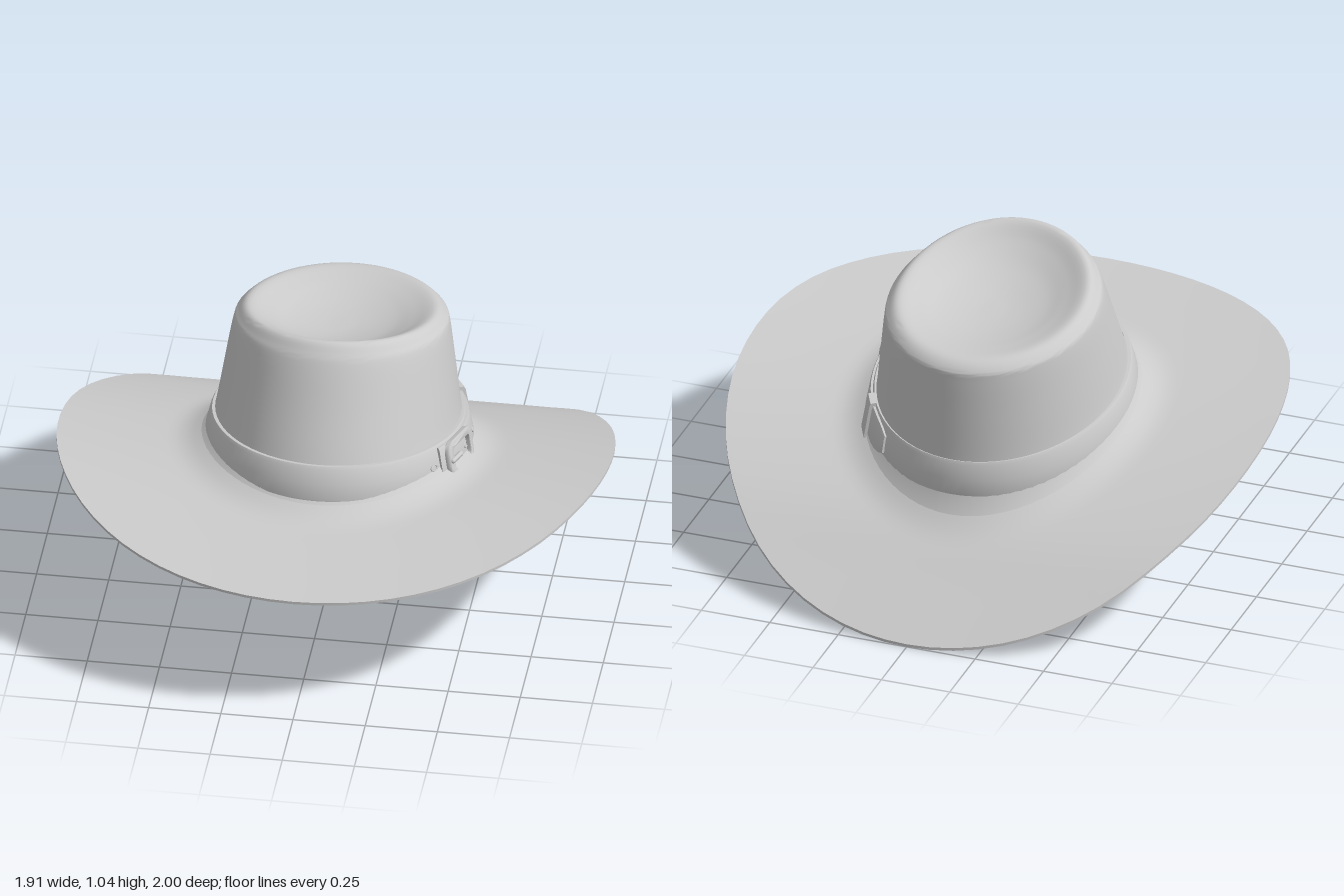
import * as THREE from 'three';
import { toCreasedNormals } from 'three/addons/utils/BufferGeometryUtils.js';

const V = (x, y, z) => new THREE.Vector3(x, y, z);
const curve = (pts) => new THREE.CatmullRomCurve3(pts.map((p) => V(...p)), false, 'catmullrom', 0.5);
const { lerp, clamp, smoothstep } = THREE.MathUtils;

// Surface from a rule: i runs around the hat (front, left, back, right), j runs upward
function grid(nu, nv, fn, crease = 0.8) {
  const pos = [], idx = [];
  for (let j = 0; j <= nv; j++)
    for (let i = 0; i <= nu; i++) pos.push(...fn(i, j).toArray());
  for (let j = 0; j < nv; j++)
    for (let i = 0; i < nu; i++) {
      const a = j * (nu + 1) + i, b = a + 1, c = a + nu + 1, d = c + 1;
      idx.push(a, b, d, a, d, c);
    }
  const g = new THREE.BufferGeometry();
  g.setAttribute('position', new THREE.Float32BufferAttribute(pos, 3));
  g.setIndex(idx);
  return toCreasedNormals(g, crease);
}

// Egg-shaped ring point from its front z, back z and half width
function ring(a, front, back, rx, off = 0) {
  return V((rx + off) * Math.sin(a), 0, (front + back) / 2 + ((front - back) / 2 + off) * Math.cos(a));
}

// Brim height: a curve from front to back, with the sides turned up
const brimCurve = curve([0.485, 0.497, 0.506, 0.507, 0.49, 0.456, 0.41, 0.345, 0.258, 0.133, 0.007]
  .map((y, i) => [1 - i * 0.2, y, 0]));
function brimY(x, z) {
  const y = brimCurve.getPoint(clamp((1 - z) / 2, 0, 1)).y;
  return y + lerp(0.03, 0.04, smoothstep(z, -0.6, 0)) * (x / 0.95) ** 2;
}

// Brim point: r runs from the crown to the rim, thick is the offset from the middle layer
const BASE = [0.49, -0.565, 0.46];
function brimPoint(a, r, thick) {
  const bulge = 1 + 0.015 * Math.sin(2 * a) ** 2;
  const p = ring(a, ...BASE).lerp(V(0.955 * bulge * Math.sin(a), 0, bulge * Math.cos(a)), r);
  const flare = 0.035 * Math.max(0, 1 - r * 4.5) ** 2;
  p.y = brimY(p.x, p.z) + flare + thick * lerp(1, 0.5, r);
  return p;
}

// Crown profile: front z, back z and half width, then front and back heights
const shape = curve([BASE, [0.458, -0.555, 0.44], [0.425, -0.55, 0.42], [0.355, -0.55, 0.395],
  [0.285, -0.55, 0.372], [0.255, -0.545, 0.357], [0.215, -0.505, 0.32], [0.155, -0.43, 0.25],
  [0.08, -0.355, 0.185], [0, -0.28, 0.12], [-0.07, -0.21, 0.06], [-0.14, -0.14, 0]]);
const heights = curve([[0.48, 0.3, 0], [0.61, 0.42, 0], [0.69, 0.5, 0], [0.83, 0.67, 0],
  [0.97, 0.81, 0], [1.015, 0.848, 0], [1.045, 0.878, 0], [0.993, 0.878, 0],
  [0.942, 0.872, 0], [0.908, 0.868, 0], [0.888, 0.87, 0], [0.877, 0.877, 0]]);
function crownPoint(a, t, shrink = 0) {
  const s = shape.getPoint(t), h = heights.getPoint(t);
  const p = ring(a, s.x, s.y, s.z, -shrink * s.z);
  p.y = lerp(h.y, h.x, (1 + Math.cos(a)) / 2);
  // The top edge sags a little along the sides, fading to the middle
  p.y -= 0.012 * Math.sin(a) ** 2 * smoothstep(t, 0.35, 0.5) * (1 - smoothstep(t, 0.55, 0.9));
  return p;
}

// Points on the hat band: t runs from its bottom edge to its top edge
function bandPoint(a, t, off = 0) {
  const p = ring(a, lerp(0.482, 0.442, t), lerp(-0.556, -0.548, t), lerp(0.455, 0.427, t), off);
  p.y = lerp(0.468 + 0.183 * p.z, 0.6 + 0.178 * p.z, t);
  return p;
}

// Raised leather strip lying on the band, optionally with a rounded tip
function strip(a0, a1, t0, t1, off, tip) {
  const n = 22;
  const rows = [[0, 0.004], [0, off], [0.08, off + 0.003], [0.92, off + 0.003], [1, off], [1, 0.004]];
  return grid(n, rows.length - 1, (i, j) => {
    const u = clamp((i - 1) / (n - 2), 0, 1);
    const s = tip ? Math.max(0, (u - 0.85) / 0.15) : 0;
    const pinch = 0.5 * (t1 - t0) * (1 - Math.sqrt(1 - 0.7 * s * s));
    const end = i === 0 || i === n;
    return bandPoint(lerp(a0, a1, u), lerp(t0 + pinch, t1 - pinch, rows[j][0]), end ? 0.004 : rows[j][1]);
  });
}

// Rounded rectangle outline
function roundRect(path, w, h, r) {
  const x = w / 2, y = h / 2;
  path.moveTo(-x + r, -y).lineTo(x - r, -y).quadraticCurveTo(x, -y, x, -y + r);
  path.lineTo(x, y - r).quadraticCurveTo(x, y, x - r, y);
  path.lineTo(-x + r, y).quadraticCurveTo(-x, y, -x, y - r);
  path.lineTo(-x, -y + r).quadraticCurveTo(-x, -y, -x + r, -y);
  return path;
}

export function createModel() {
  const felt = new THREE.MeshStandardMaterial({ color: 0xcccccc, side: THREE.DoubleSide });
  felt.name = 'grey felt';
  const hat = new THREE.Group();
  hat.name = 'hat';
  const add = (name, geo, parent = hat) => {
    const m = new THREE.Mesh(geo, felt);
    m.name = name;
    parent.add(m);
    return m;
  };
  const N = 72, TAU = Math.PI * 2, M = 16;

  // Brim top: a thin rim edge, then inward to the crown
  add('brim', grid(N, M + 1, (i, j) =>
    brimPoint((i / N) * TAU, j ? 1 - (j - 1) / M : 1, j ? 0.01 : -0.01)));

  // Lining: inside of the crown from the top down, flowing smoothly into the brim underside
  const inside = 12;
  const under = [0.05, 0.22, 0.38, 0.52, 0.68, 0.84, 1];
  add('lining', grid(N, inside + under.length - 1, (i, j) => {
    const a = (i / N) * TAU;
    if (j >= inside) return brimPoint(a, under[j - inside], -0.01);
    const p = crownPoint(a, lerp(1, 0.2, j / (inside - 1)), 0.05);
    p.y -= 0.015;
    return p;
  }, 3.1));

  // Crown with its dented top
  const L = 55;
  add('crown', grid(N, L, (i, j) => {
    const p = crownPoint((i / N) * TAU, j / L);
    p.y = Math.max(p.y, brimY(p.x, p.z) + 0.02);
    return p;
  }, 1.2));

  // Hat band with softened edges
  const rows = [[0, -0.004], [0, 0.004], [0.08, 0.008], [0.5, 0.01], [0.92, 0.008], [1, 0.004], [1, -0.008]];
  add('hatBand', grid(N, rows.length - 1, (i, j) => bandPoint((i / N) * TAU, ...rows[j])));

  // Strap end running through the buckle, and its keeper loop
  add('strapEnd', strip(1.05, 2.46, 0.06, 0.94, 0.015, true));
  add('keeperLoop', strip(2.05, 2.17, -0.04, 1.04, 0.026, false));

  // Group placed on the band: x along it, y up, z outward
  const onBand = (name, a, off) => {
    const g = new THREE.Group();
    g.name = name;
    const X = bandPoint(a + 0.01, 0.5).sub(bandPoint(a - 0.01, 0.5)).normalize();
    const up = bandPoint(a, 1).sub(bandPoint(a, 0));
    const Z = X.clone().cross(up).normalize();
    g.quaternion.setFromRotationMatrix(new THREE.Matrix4().makeBasis(X, Z.clone().cross(X), Z));
    g.position.copy(bandPoint(a, 0.5, off));
    hat.add(g);
    return g;
  };

  // Buckle: rounded frame and prong
  const buckle = onBand('buckle', 1.3, 0.02);
  const frame = roundRect(new THREE.Shape(), 0.195, 0.125, 0.045);
  frame.holes.push(roundRect(new THREE.Path(), 0.155, 0.09, 0.03));
  const frameGeo = new THREE.ExtrudeGeometry(frame, {
    depth: 0.012, bevelEnabled: true, bevelSize: 0.005, bevelThickness: 0.005, bevelSegments: 2, curveSegments: 6,
  });
  // Bend the frame to follow the band
  const fp = frameGeo.attributes.position;
  for (let i = 0; i < fp.count; i++) fp.setZ(i, fp.getZ(i) - fp.getX(i) ** 2);
  add('buckleFrame', toCreasedNormals(frameGeo, 0.7), buckle);
  const prong = add('buckleProng', new THREE.CapsuleGeometry(0.009, 0.07, 4, 10), buckle);
  prong.rotation.z = Math.PI / 2;
  prong.position.set(-0.055, 0, 0.01);

  // Eyelets along the strap
  for (const a of [0.97, 1.42, 1.68]) {
    const e = add('eyelet', new THREE.TorusGeometry(0.012, 0.003, 8, 18), onBand('eyeletMount', a, 0.018));
    e.scale.set(1.3, 0.8, 1);
  }
  return hat;
}
